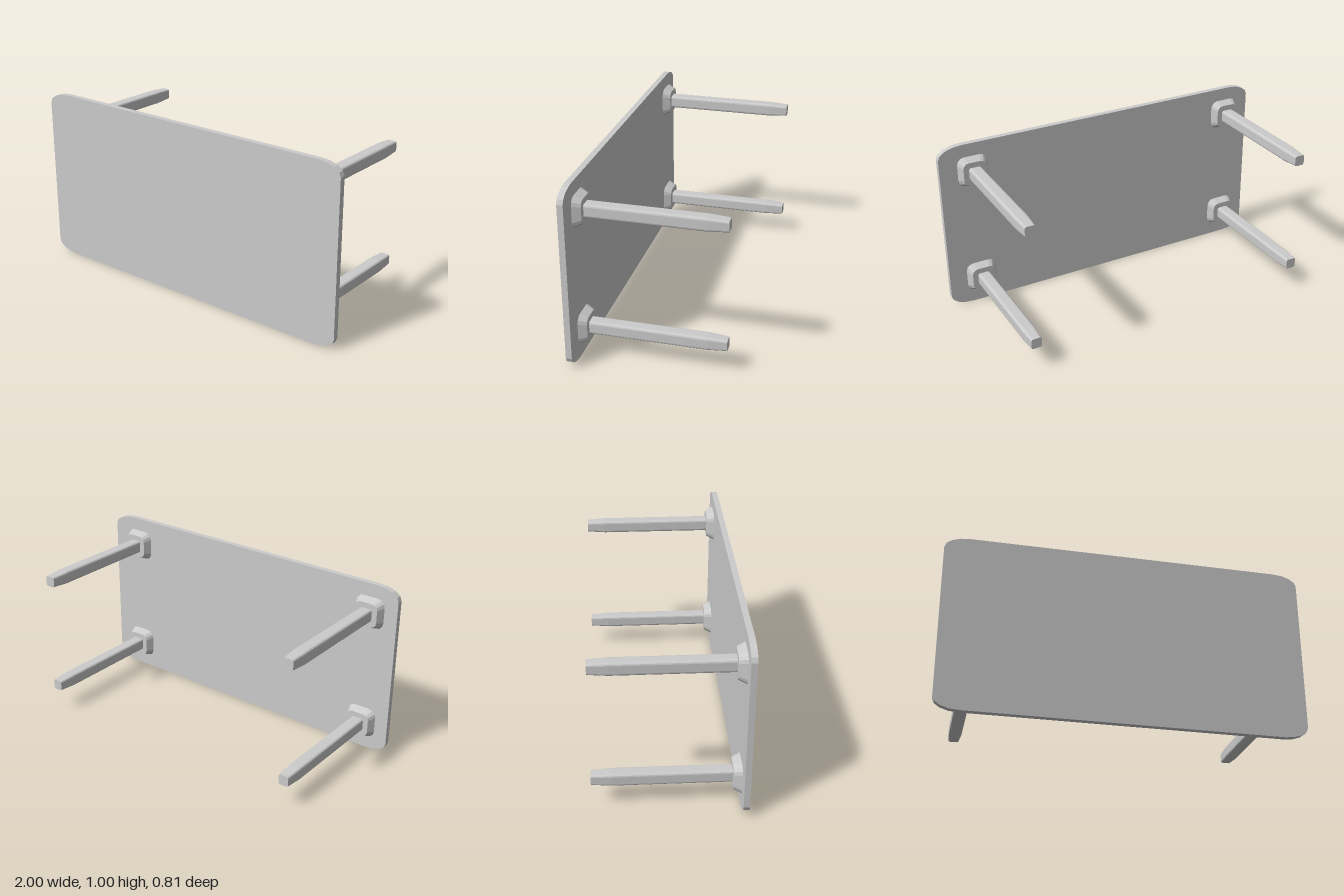
import * as THREE from 'three';

const material = new THREE.MeshStandardMaterial({ color: 0xcccccc, flatShading: true });

// Rounded rectangle outline, counter-clockwise as seen from +z
function roundedSection({ z, w, h, rx, ry }, segments) {
  const points = [];
  const corners = [[1, 1], [-1, 1], [-1, -1], [1, -1]];
  corners.forEach(([sx, sy], k) => {
    for (let i = 0; i <= segments; i++) {
      const a = (k + i / segments) * Math.PI / 2;
      points.push([
        sx * (w / 2 - rx) + Math.cos(a) * rx,
        sy * (h / 2 - ry) + Math.sin(a) * ry,
        z,
      ]);
    }
  });
  return points;
}

// Solid through sections ordered from +z to -z, capped at both ends
function loft(name, sections, segments) {
  const rings = sections.map((s) => roundedSection(s, segments));
  const n = rings[0].length;
  const pos = [];
  const tri = (a, b, c) => pos.push(...a, ...b, ...c);
  for (let i = 0; i < rings.length - 1; i++) {
    for (let j = 0; j < n; j++) {
      const k = (j + 1) % n;
      tri(rings[i][j], rings[i + 1][j], rings[i + 1][k]);
      tri(rings[i][j], rings[i + 1][k], rings[i][k]);
    }
  }
  const first = rings[0], last = rings[rings.length - 1];
  for (let j = 1; j < n - 1; j++) {
    tri(first[0], first[j], first[j + 1]);
    tri(last[0], last[j + 1], last[j]);
  }
  const geometry = new THREE.BufferGeometry();
  geometry.setAttribute('position', new THREE.Float32BufferAttribute(pos, 3));
  geometry.computeVertexNormals();
  const mesh = new THREE.Mesh(geometry, material);
  mesh.name = name;
  return mesh;
}

export function createModel() {
  const table = new THREE.Group();
  table.name = 'table';

  // Table top, standing on its long edge
  const top = loft('tableTop', [
    { z: 0.405, w: 2, h: 1, rx: 0.135, ry: 0.065 },
    { z: 0.372, w: 2, h: 1, rx: 0.135, ry: 0.065 },
  ], 4);
  top.position.y = 0.5;
  table.add(top);

  // Four legs with flared mounting collars, pointing backwards
  for (const [side, x] of [['Left', 0.809], ['Right', -0.835]]) {
    for (const [level, y] of [['upper', 0.837], ['lower', 0.163]]) {
      const leg = new THREE.Group();
      leg.name = `${level}${side}Leg`;
      leg.add(
        loft('collar', [
          { z: 0.372, w: 0.175, h: 0.175, rx: 0.042, ry: 0.042 },
          { z: 0.328, w: 0.135, h: 0.135, rx: 0.032, ry: 0.032 },
        ], 3),
        loft('shaft', [
          { z: 0.328, w: 0.073, h: 0.073, rx: 0.014, ry: 0.014 },
          { z: -0.3, w: 0.073, h: 0.073, rx: 0.014, ry: 0.014 },
          { z: -0.405, w: 0.06, h: 0.06, rx: 0.011, ry: 0.011 },
        ], 3),
      );
      leg.position.set(x, y, 0);
      table.add(leg);
    }
  }
  return table;
}
